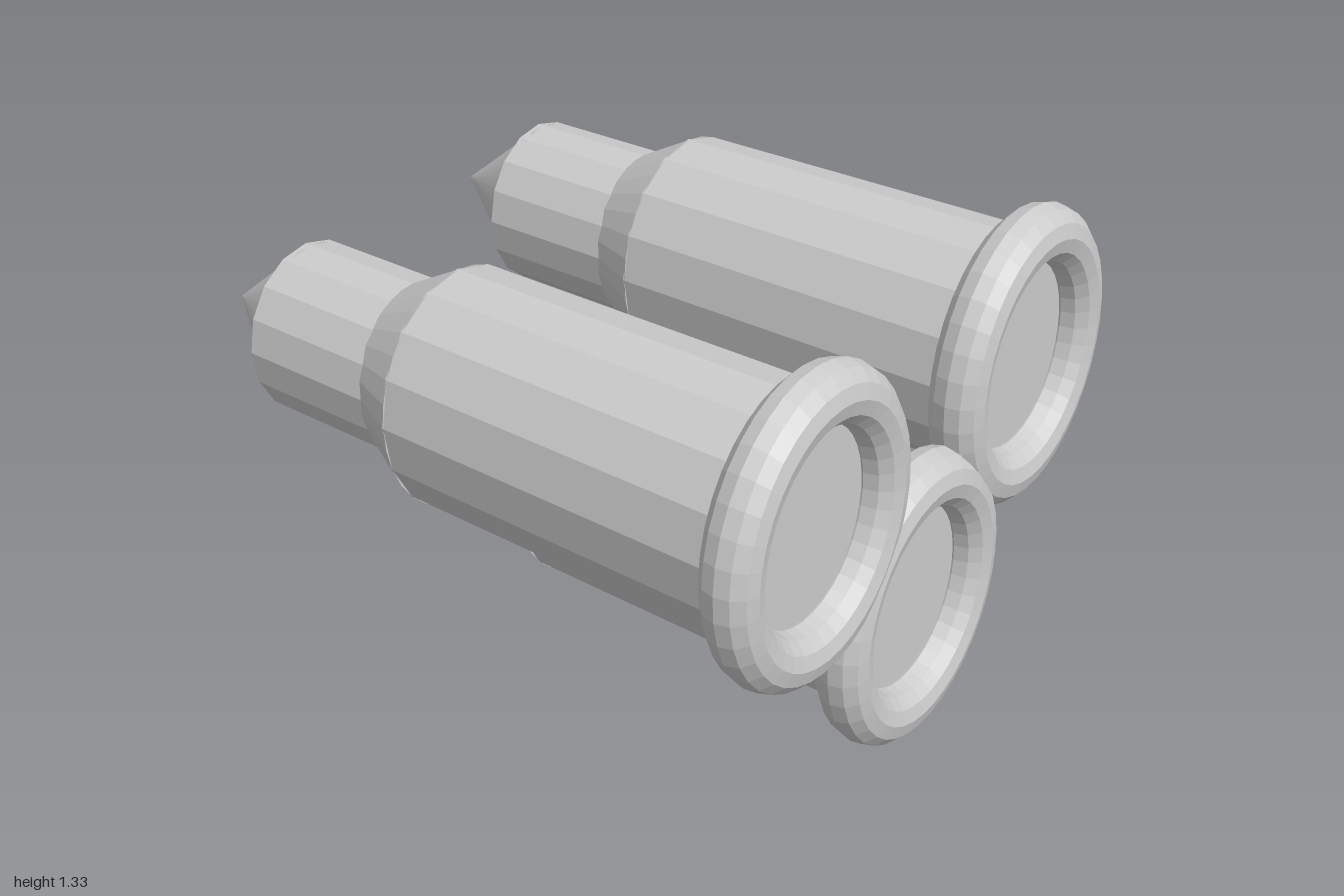
import * as THREE from 'three';

const flat = new THREE.MeshStandardMaterial({ color: 0xcccccc, flatShading: true });
const smooth = new THREE.MeshStandardMaterial({ color: 0xcccccc });

// Tapered oval section running along z from zFront to zBack; radii are the vertical ones
function section(name, rFront, rBack, zFront, zBack, sides, widthRatio, material, open = false) {
  const geo = new THREE.CylinderGeometry(rBack, rFront, zFront - zBack, sides, 1, open);
  geo.rotateX(-Math.PI / 2);
  geo.scale(widthRatio, 1, 1);
  geo.translate(0, 0, (zFront + zBack) / 2);
  const mesh = new THREE.Mesh(geo, material);
  mesh.name = name;
  return mesh;
}

function createCartridge(name, x, y) {
  const g = new THREE.Group();
  g.name = name;

  // Rounded rim around the base
  const rimGeo = new THREE.TorusGeometry(0.3335, 0.0785, 12, 36);
  rimGeo.scale(0.874, 1, 0.955);
  rimGeo.translate(0, 0, 0.925);
  const rim = new THREE.Mesh(rimGeo, flat);
  rim.name = 'rim';
  g.add(rim);

  // Casing, shoulder, neck and pointed tip
  g.add(
    section('casing', 0.33, 0.33, 0.92, -0.15, 16, 0.873, flat),
    section('shoulder', 0.33, 0.243, -0.145, -0.31, 32, 0.873, flat),
    section('neck', 0.243, 0.243, -0.25, -0.71, 16, 0.9, flat),
    section('tip', 0.242, 0, -0.69, -1, 32, 0.85, smooth),
  );

  g.position.set(x, y, 0);
  return g;
}

export function createModel() {
  const model = new THREE.Group();
  model.name = 'cartridges';
  model.add(
    createCartridge('rightCartridge', -0.471, 0.854),
    createCartridge('middleCartridge', 0.004, 0.417),
    createCartridge('leftCartridge', 0.467, 0.919),
  );
  return model;
}
